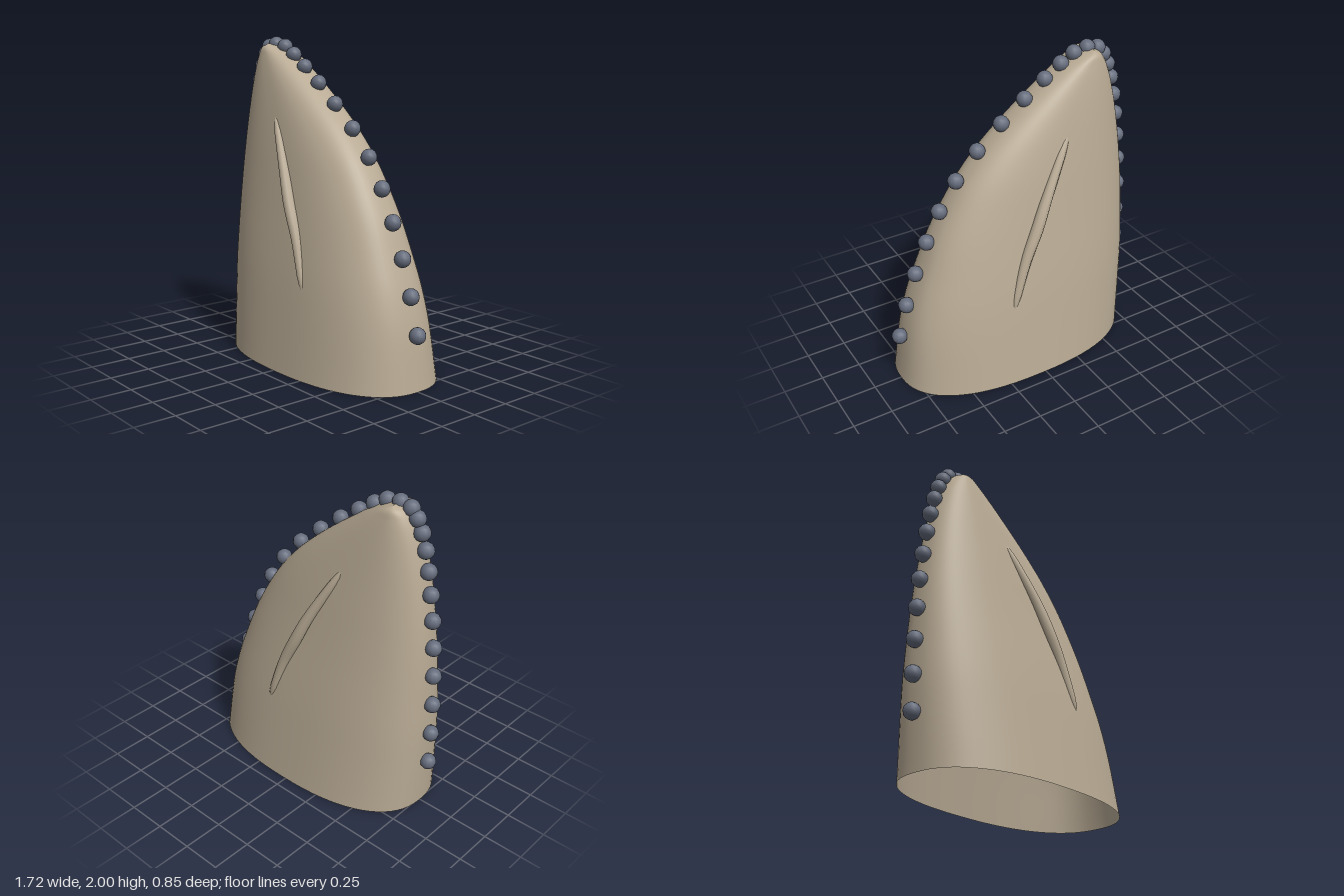
import * as THREE from 'three';

const felt = new THREE.MeshStandardMaterial({ color: 0xb8aa94, side: THREE.DoubleSide });
felt.name = 'beige felt';
const bead = new THREE.MeshStandardMaterial({ color: 0x656c7c });
bead.name = 'slate grey';

// Grid of rings joined into one closed-around surface; point(u, v) gives [x, y, z]
function loft(rings, sides, point) {
  const pos = [], index = [];
  for (let i = 0; i <= rings; i++) {
    for (let j = 0; j < sides; j++) pos.push(...point(i / rings, j / sides));
  }
  for (let i = 0; i < rings; i++) {
    for (let j = 0; j < sides; j++) {
      const k = (j + 1) % sides;
      const a = i * sides + j, b = i * sides + k, c = a + sides, d = b + sides;
      index.push(a, c, b, b, c, d);
    }
  }
  const g = new THREE.BufferGeometry();
  g.setAttribute('position', new THREE.Float32BufferAttribute(pos, 3));
  g.setIndex(index);
  g.computeVertexNormals();
  return g;
}

// Shell cross-sections: height, left edge, right edge, half depth
const SECTIONS = [
  [0, -0.76, 0.82, 0.425], [0.33, -0.777, 0.775, 0.385], [0.55, -0.785, 0.72, 0.357],
  [0.75, -0.783, 0.645, 0.327], [0.95, -0.777, 0.56, 0.294], [1.13, -0.765, 0.46, 0.265],
  [1.3, -0.747, 0.345, 0.238], [1.46, -0.725, 0.2, 0.21], [1.6, -0.7, 0.04, 0.184],
  [1.72, -0.672, -0.115, 0.16], [1.81, -0.645, -0.24, 0.14], [1.88, -0.615, -0.345, 0.122],
  [1.93, -0.577, -0.44, 0.105], [1.955, -0.52, -0.52, 0.065],
];

function makeShell() {
  const edges = new THREE.CatmullRomCurve3(
    SECTIONS.map(([y, l, r]) => new THREE.Vector3(l, y, r)), false, 'catmullrom');
  const depth = new THREE.CatmullRomCurve3(
    SECTIONS.map((s) => new THREE.Vector3(s[3], 0, 0)), false, 'catmullrom');
  const power = (c) => Math.sign(c) * Math.abs(c) ** (2 / 2.4);
  return loft(52, 72, (u, v) => {
    const e = edges.getPoint(u), hz = depth.getPoint(u).x, a = v * Math.PI * 2;
    return [
      (e.x + e.z) / 2 + ((e.z - e.x) / 2) * power(Math.cos(a)),
      e.y,
      hz * power(Math.sin(a)),
    ];
  });
}

// Slim tapered rib lying on one face of the shell
function makeRib(side) {
  const path = new THREE.CatmullRomCurve3([
    [0.2, 0.49, 0.343], [0.09, 0.82, 0.312], [0.005, 1.0, 0.295],
    [-0.08, 1.18, 0.266], [-0.285, 1.545, 0.18],
  ].map(([x, y, z]) => new THREE.Vector3(x, y, z * side)));
  const out = new THREE.Vector3(0, 0, 1);
  return loft(24, 10, (u, v) => {
    const p = path.getPoint(u), t = path.getTangent(u);
    const s = new THREE.Vector3().crossVectors(t, out).normalize();
    const n = new THREE.Vector3().crossVectors(s, t);
    const cap = Math.sqrt(Math.max(0, Math.min(1, u * 14, (1 - u) * 14)));
    const r = (0.023 + 0.015 * Math.sin(Math.PI * u)) * cap;
    const a = v * Math.PI * 2;
    p.addScaledVector(s, r * Math.cos(a)).addScaledVector(n, -r * Math.sin(a));
    return [p.x, p.y, p.z];
  });
}

// Bead centres: height, left x, right x
const BEADS = [
  [0.33, -0.803, 0.808], [0.545, -0.808, 0.75], [0.752, -0.806, 0.678], [0.95, -0.8, 0.594],
  [1.135, -0.789, 0.5], [1.307, -0.772, 0.384], [1.464, -0.75, 0.237], [1.6, -0.726, 0.073],
  [1.72, -0.699, -0.084], [1.815, -0.668, -0.222], [1.888, -0.633, -0.332], [1.936, -0.59, -0.422],
];

export function createModel() {
  const model = new THREE.Group();
  model.name = 'pointedHat';
  const add = (name, geometry, material, parent = model) => {
    const m = new THREE.Mesh(geometry, material);
    m.name = name;
    parent.add(m);
    return m;
  };

  add('shell', makeShell(), felt);
  add('frontRib', makeRib(1), felt);
  add('backRib', makeRib(-1), felt);

  // Row of beads along the rim
  const beads = new THREE.Group();
  beads.name = 'beads';
  model.add(beads);
  const ball = new THREE.SphereGeometry(0.05, 12, 8);
  add('topBead', ball, bead, beads).position.set(-0.515, 1.95, 0);
  for (const [y, l, r] of BEADS) {
    add('bead', ball, bead, beads).position.set(l, y, 0);
    add('bead', ball, bead, beads).position.set(r, y, 0);
  }
  return model;
}
